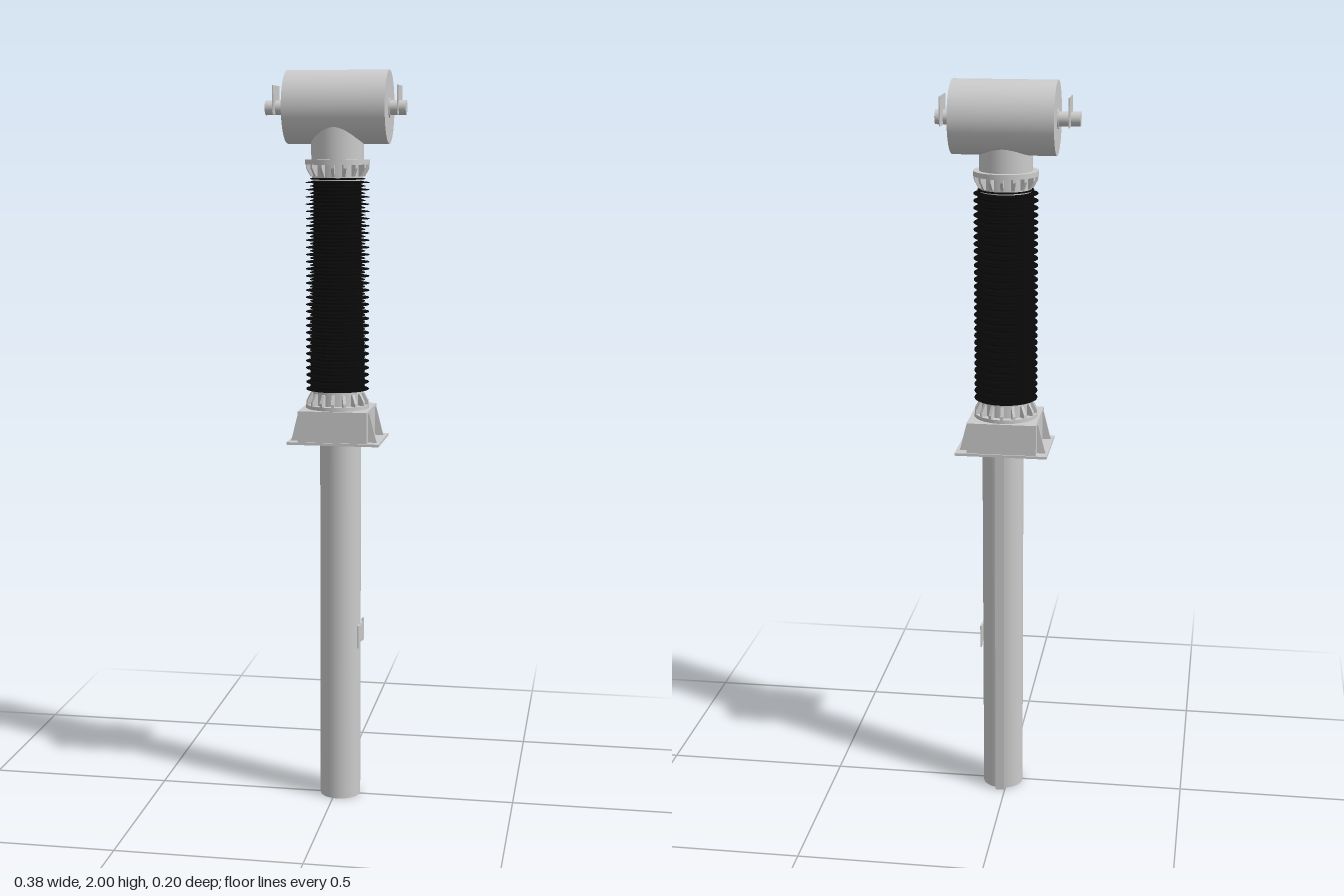
import * as THREE from 'three';
import { toCreasedNormals } from 'three/addons/utils/BufferGeometryUtils.js';

export function createModel() {
  const model = new THREE.Group();
  const grey = new THREE.MeshStandardMaterial({ color: 0xcccccc });
  const black = new THREE.MeshStandardMaterial({ color: 0x080808 });
  const CX = 0.006, CZ = 0.004; // axis of the insulator column

  function add(name, geometry, x, y, z, parent = model, material = grey) {
    const mesh = new THREE.Mesh(geometry, material);
    mesh.name = name;
    mesh.position.set(x, y, z);
    parent.add(mesh);
    return mesh;
  }
  const box = (w, h, d) => new THREE.BoxGeometry(w, h, d);
  // Upright cylinder spanning y0 to y1
  const post = (name, r, y0, y1, x, z, parent) =>
    add(name, new THREE.CylinderGeometry(r, r, y1 - y0, 40), x, (y0 + y1) / 2, z, parent);
  // Cylinder lying along x, spanning x0 to x1
  function bar(name, r, x0, x1, y, z, parent) {
    const m = add(name, new THREE.CylinderGeometry(r, r, x1 - x0, 40), (x0 + x1) / 2, y, z, parent);
    m.rotation.z = Math.PI / 2;
    return m;
  }
  // Flat upright plate from an outline, thickness centred
  function plate(points, t) {
    const shape = new THREE.Shape(points.map(p => new THREE.Vector2(...p)));
    return new THREE.ExtrudeGeometry(shape, { depth: t, bevelEnabled: false }).translate(0, 0, -t / 2);
  }

  // Lower tube with the rail behind it and the tag plate on its side
  post('lowerTube', 0.056, 0, 1.015, 0.013, -0.005);
  add('rearRail', box(0.026, 1.012, 0.022), 0.013, 0.506, -0.062);
  const tag = new THREE.Group();
  tag.name = 'tagPlate';
  model.add(tag);
  add('tagCentre', box(0.004, 0.05, 0.095), 0.069, 0.468, -0.007, tag);
  for (const z of [0.031, -0.045]) add('tagEnd', box(0.004, 0.064, 0.019), 0.069, 0.468, z, tag);

  // Mounting base: plate, box and end gussets
  const base = new THREE.Group();
  base.name = 'mountingBase';
  model.add(base);
  add('basePlate', box(0.249, 0.007, 0.193), 0.008, 1.0155, 0.0035, base);
  add('baseBox', box(0.187, 0.086, 0.185), 0.0065, 1.06, 0.0035, base);
  for (const side of [1, -1]) {
    for (const z of [0.068, -0.06]) {
      const outline = [[0, 0], [0.025, 0], [0.021, 0.012], [0.004, 0.08], [0, 0.08]];
      const gusset = add('baseGusset', plate(outline, 0.005), 0.0065 + side * 0.0925, 1.018, z, base);
      if (side < 0) gusset.rotation.y = Math.PI;
    }
  }

  // Ribbed flange; dir gives the way its ribs point away from the disc
  function flange(name, y, dir) {
    const g = new THREE.Group();
    g.name = name;
    g.position.set(CX, y, CZ);
    if (dir < 0) g.rotation.x = Math.PI;
    model.add(g);
    post('flangeDisc', 0.086, 0, 0.013, 0, 0, g);
    post('flangeCollar', 0.068, 0.005, 0.055, 0, 0, g);
    const count = 16;
    for (let i = 0; i < count; i++) {
      const rib = add('flangeRib', plate([[0.06, 0.01], [0.085, 0.01], [0.085, 0.022], [0.073, 0.044], [0.06, 0.044]], 0.008), 0, 0, 0, g);
      rib.rotation.y = (i / count) * Math.PI * 2;
    }
  }
  flange('lowerFlange', 1.1, 1);
  flange('upperFlange', 1.767, -1);

  // Insulator: alternating wide and narrow sheds on a core
  const y0 = 1.15, y1 = 1.722, sheds = 60, step = (y1 - y0) / sheds;
  const profile = [new THREE.Vector2(0.001, y0), new THREE.Vector2(0.064, y0)];
  for (let i = 0; i < sheds; i++) {
    const y = y0 + i * step, r = i % 2 ? 0.074 : 0.085;
    profile.push(
      new THREE.Vector2(0.064, y + step * 0.2),
      new THREE.Vector2(r, y + step * 0.35),
      new THREE.Vector2(r, y + step * 0.5),
      new THREE.Vector2(0.064, y + step * 0.85));
  }
  profile.push(new THREE.Vector2(0.064, y1), new THREE.Vector2(0.001, y1));
  add('insulator', toCreasedNormals(new THREE.LatheGeometry(profile, 40), 0.5), CX, 0, CZ, model, black);

  // Neck and horizontal head
  post('neck', 0.07, 1.76, 1.88, CX, CZ);
  bar('head', 0.096, -0.13, 0.143, 1.904, -0.006);

  // Terminals at both ends: boss, stub and upright plate
  const terminals = [
    { name: 'rightTerminal', face: -0.13, tip: -0.189, px: -0.163, pz: -0.011 },
    { name: 'leftTerminal', face: 0.143, tip: 0.188, px: 0.168, pz: -0.02 },
  ];
  for (const { name, face, tip, px, pz } of terminals) {
    const g = new THREE.Group();
    g.name = name;
    model.add(g);
    const s = Math.sign(face);
    bar('terminalBoss', 0.026, Math.min(face, face + s * 0.003), Math.max(face, face + s * 0.003), 1.902, -0.005, g);
    bar('terminalStub', 0.019, Math.min(face, tip), Math.max(face, tip), 1.902, -0.005, g);
    add('terminalPlate', box(0.003, 0.076, 0.085), px, 1.922, pz, g);
  }
  return model;
}
